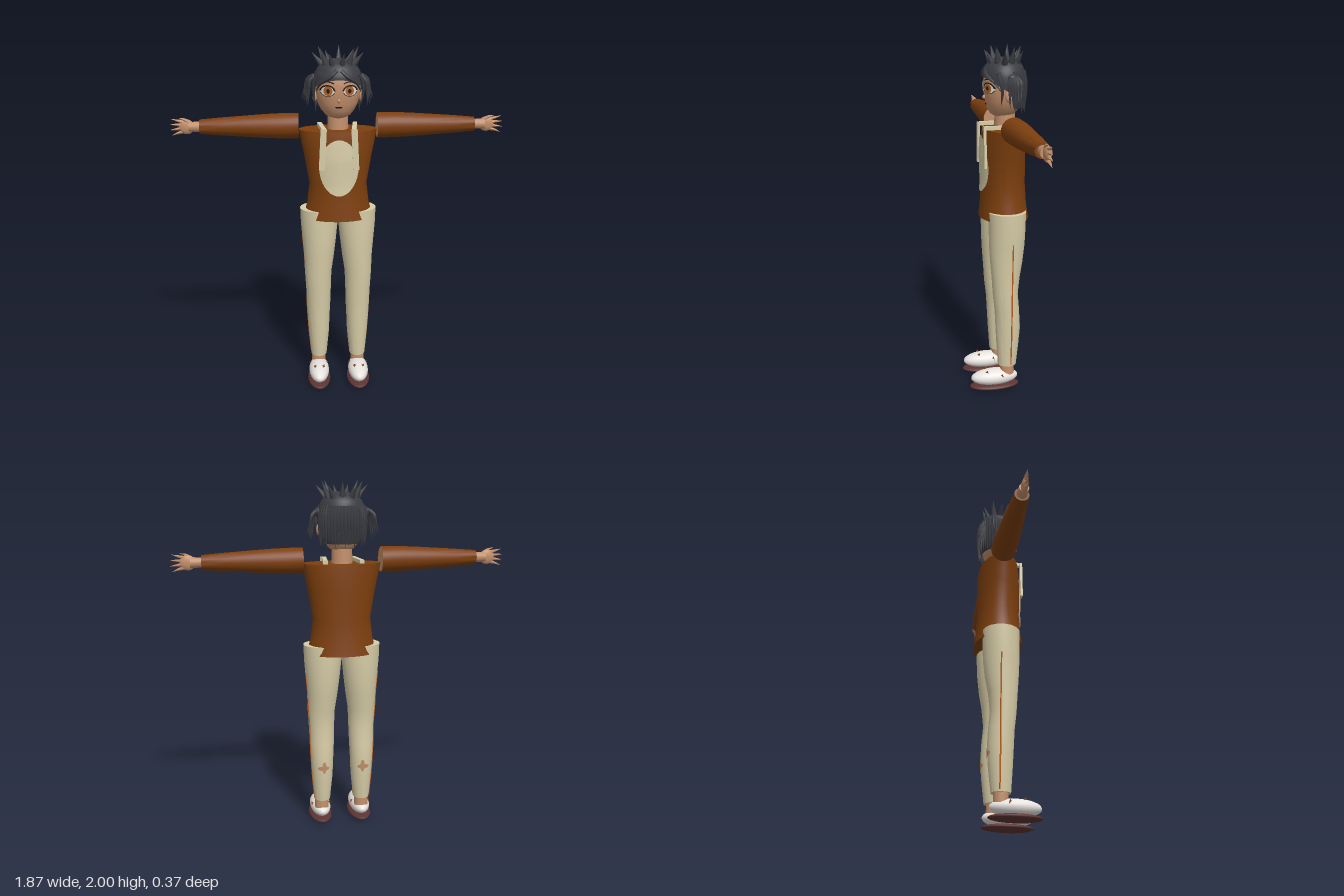
import * as THREE from 'three';
import { toCreasedNormals } from 'three/addons/utils/BufferGeometryUtils.js';

const mat = (name, color) => {
  const m = new THREE.MeshStandardMaterial({ color, side: THREE.DoubleSide });
  m.name = name;
  return m;
};
const V = (x, y, z) => new THREE.Vector3(x, y, z);
const lerp = THREE.MathUtils.lerp;

// Cross-section rows, bottom to top: [y, centre x, radius x, centre z, radius z]
const headRows = [
  [1.615, 0, 0.035, -0.035, 0.04], [1.63, 0, 0.068, -0.037, 0.068], [1.66, 0, 0.093, -0.04, 0.09],
  [1.7, 0, 0.112, -0.04, 0.1], [1.75, 0, 0.123, -0.04, 0.108], [1.8, 0, 0.126, -0.04, 0.11],
  [1.84, 0, 0.121, -0.042, 0.107], [1.88, 0, 0.1, -0.044, 0.092], [1.905, 0, 0.073, -0.045, 0.068], [1.925, 0, 0.02, -0.045, 0.02],
];
const torsoRows = [
  [1.04, 0, 0.2, -0.042, 0.14], [1.12, 0, 0.178, -0.04, 0.13], [1.24, 0, 0.164, -0.04, 0.122],
  [1.4, 0, 0.191, -0.038, 0.123], [1.5, 0, 0.211, -0.04, 0.119], [1.55, 0, 0.22, -0.042, 0.113],
];
const legRows = s => [
  [0.15, 0.117, 0.047, -0.04, 0.054], [0.3, 0.116, 0.061, -0.043, 0.067], [0.4, 0.117, 0.066, -0.043, 0.072],
  [0.5, 0.117, 0.071, -0.038, 0.072], [0.6, 0.117, 0.074, -0.028, 0.073], [0.7, 0.118, 0.079, -0.03, 0.081],
  [0.8, 0.112, 0.088, -0.035, 0.094], [0.9, 0.11, 0.098, -0.038, 0.102], [1.0, 0.109, 0.107, -0.04, 0.105], [1.09, 0.11, 0.109, -0.04, 0.106],
].map(([y, x, ...r]) => [y, s * x, ...r]);

function sample(rows, y) {
  let i = 0;
  while (i < rows.length - 2 && y > rows[i + 1][0]) i++;
  const t = THREE.MathUtils.clamp((y - rows[i][0]) / (rows[i + 1][0] - rows[i][0]), 0, 1);
  return rows[i].map((v, k) => lerp(v, rows[i + 1][k], t));
}

// Grid of points to a smooth surface
function grid(nu, nv, f) {
  const pos = [], idx = [];
  for (let j = 0; j <= nv; j++) for (let i = 0; i <= nu; i++) pos.push(...f(i / nu, j / nv));
  for (let j = 0; j < nv; j++) for (let i = 0; i < nu; i++) {
    const a = j * (nu + 1) + i, b = a + nu + 1;
    idx.push(a, a + 1, b, a + 1, b + 1, b);
  }
  const g = new THREE.BufferGeometry();
  g.setAttribute('position', new THREE.Float32BufferAttribute(pos, 3));
  g.setIndex(idx);
  return g;
}

// Closed body through elliptical rows
function loft(rows, n = 36) {
  const all = [rows[0].map((v, k) => (k % 2 ? v : k ? 0 : v)), ...rows, rows.at(-1).map((v, k) => (k % 2 ? v : k ? 0 : v))];
  return toCreasedNormals(grid(n, all.length - 1, (u, v) => {
    const [y, cx, rx, cz, rz] = all[Math.round(v * (all.length - 1))];
    const a = u * Math.PI * 2;
    return [cx + rx * Math.sin(a), y, cz + rz * Math.cos(a)];
  }), 0.9);
}

// Thin elliptical plate laid on a lofted body; side 1 is front, -1 is back
function decal(rows, cx, cy, rx, ry, lift, side = 1, inner = 0, start = 0, len = Math.PI * 2) {
  const g = new THREE.RingGeometry(inner, 1, 32, 6, start, len);
  const p = g.attributes.position;
  for (let i = 0; i < p.count; i++) {
    const x = cx + side * p.getX(i) * rx, y = cy + p.getY(i) * ry;
    const [, ox, ax, oz, az] = sample(rows, y);
    p.setXYZ(i, x, y, oz + side * (az * Math.sqrt(Math.max(0, 1 - ((x - ox) / ax) ** 2)) + lift));
  }
  g.computeVertexNormals();
  return g;
}

// Tube that narrows to a point
function strandGeo(points, r) {
  const curve = new THREE.CatmullRomCurve3(points), n = 8;
  const g = new THREE.TubeGeometry(curve, n, r, 6);
  const p = g.attributes.position, v = V(0, 0, 0);
  for (let i = 0; i < p.count; i++) {
    const t = Math.floor(i / 7) / n;
    v.fromBufferAttribute(p, i).lerp(curve.getPointAt(t), t ** 1.5 * 0.95);
    p.setXYZ(i, v.x, v.y, v.z);
  }
  g.computeVertexNormals();
  return g;
}

export function createModel() {
  const model = new THREE.Group();
  const skin = mat('skin', 0xc4906c), hair = mat('hair', 0x3b3c42), brown = mat('jacket brown', 0x7d3f0e);
  const cream = mat('cream', 0xd8cda8), white = mat('white', 0xe8e4e0), maroon = mat('sole maroon', 0x5c3432);
  const orange = mat('stripe orange', 0xc8641f), amber = mat('iris amber', 0xb5672a), black = mat('black', 0x1c1a1c);
  const add = (name, geo, m, x = 0, y = 0, z = 0) => {
    const mesh = new THREE.Mesh(geo, m);
    mesh.name = name;
    mesh.position.set(x, y, z);
    model.add(mesh);
    return mesh;
  };
  const ball = (name, m, x, y, z, rx, ry, rz) => add(name, new THREE.SphereGeometry(1, 24, 16), m, x, y, z).scale.set(rx, ry, rz);
  const strand = (name, pts, r, m = hair) => add(name, strandGeo(pts, r), m);

  // Torso, belly patch, neck, head
  add('jacket', loft(torsoRows, 48), brown);
  add('bellyPatch', decal(torsoRows, 0, 1.35, 0.11, 0.16, 0.009), cream);
  add('neck', new THREE.CylinderGeometry(0.056, 0.06, 0.13, 24), skin, 0, 1.6, -0.05);
  add('head', loft(headRows), skin);

  // Face
  for (const s of [-1, 1]) {
    const x = s * 0.062;
    add('eyeWhite', decal(headRows, x, 1.775, 0.038, 0.028, 0.002), white);
    add('iris', decal(headRows, x - s * 0.003, 1.775, 0.024, 0.026, 0.004), amber);
    add('pupil', decal(headRows, x - s * 0.003, 1.775, 0.009, 0.012, 0.006), black);
    add('upperLash', decal(headRows, x, 1.772, 0.043, 0.036, 0.005, 1, 0.8, 0.1, Math.PI - 0.2), black);
    add('lowerLash', decal(headRows, x, 1.775, 0.04, 0.03, 0.004, 1, 0.9, Math.PI + 0.3, Math.PI - 0.6), black);
    add('eyebrow', decal(headRows, x, 1.805, 0.045, 0.022, 0.004, 1, 0.75, 0.5, Math.PI - 1), black);
    ball('ear', skin, s * 0.128, 1.735, -0.042, 0.014, 0.032, 0.02);
  }
  ball('nose', skin, 0, 1.722, 0.066, 0.009, 0.012, 0.012);
  add('mouth', decal(headRows, 0, 1.685, 0.02, 0.005, 0.003), black);

  // Hair cap with a hem that drops towards the nape
  const hairRows = headRows.map(([y, x, rx, z, rz]) => [y + (y > 1.83 ? 0.012 : 0), x, rx + 0.011, z, rz + 0.011]);
  const cap = grid(48, 16, (u, v) => {
    const a = u * Math.PI * 2, c = Math.cos(a);
    const hem = c > 0 ? 1.76 + 0.075 * c : Math.max(1.66, 1.76 + 0.25 * c);
    const y = hem + (1.937 - hem) * Math.sin(v * Math.PI / 2);
    const [, , rx, cz, rz] = sample(hairRows, y);
    const k = v === 1 ? 0 : 1;
    return [k * rx * Math.sin(a), y, cz + k * rz * c];
  });
  cap.computeVertexNormals();
  add('hairCap', cap, hair);

  // Layered strands down the back
  for (let i = 0; i <= 18; i++) {
    const a = Math.PI * (0.6 + 0.8 * i / 18), sx = Math.sin(a), c = Math.cos(a);
    const at = (r, y) => V(sx * (r + 0.012), y, -0.042 + c * r);
    strand('backStrand', [at(0.108, 1.865), at(0.122, 1.8), at(0.122, 1.72), at(0.117, 1.64 + 0.012 * (i % 3))], 0.014);
  }

  // Fringe, side locks and bunches
  for (const s of [-1, 1]) {
    strand('fringe', [V(s * 0.01, 1.88, 0.05), V(s * 0.05, 1.848, 0.063), V(s * 0.1, 1.81, 0.03), V(s * 0.125, 1.76, 0.0)], 0.018);
    strand('sideLock', [V(s * 0.11, 1.86, 0.01), V(s * 0.133, 1.81, 0), V(s * 0.136, 1.75, -0.005), V(s * 0.125, 1.69, 0)], 0.016);
    ball('bunchKnot', hair, s * 0.135, 1.83, -0.06, 0.02, 0.025, 0.025);
    for (let k = 0; k < 5; k++) {
      const z = -0.04 - k * 0.014;
      strand('bunchStrand', [V(s * 0.125, 1.845, -0.06), V(s * (0.153 + k * 0.004), 1.82, z),
        V(s * (0.16 + k * 0.006), 1.76, z), V(s * (0.168 + k * 0.009), 1.675 + k * 0.01, z)], 0.013);
    }
  }

  // Crown of spikes
  for (let i = 0; i < 11; i++) {
    const a = i / 11 * Math.PI * 2 + 0.2, out = i % 2 ? 0.85 : 1;
    const base = V(Math.sin(a) * 0.07, 1.885, -0.045 + Math.cos(a) * 0.06);
    const tip = V(Math.sin(a) * 0.145 * out, i % 2 ? 2 : 1.975, -0.045 + Math.cos(a) * 0.108 * out);
    const dir = tip.clone().sub(base);
    const mid = base.clone().add(tip).multiplyScalar(0.5);
    add('crownSpike', new THREE.ConeGeometry(0.026, dir.length(), 10), hair, mid.x, mid.y, mid.z)
      .quaternion.setFromUnitVectors(V(0, 1, 0), dir.normalize());
    ball('spikeRoot', hair, base.x, base.y + 0.008, base.z, 0.027, 0.024, 0.027);
  }

  for (const s of [-1, 1]) {
    // Shoulder straps
    add('shoulderStrap', new THREE.BoxGeometry(0.025, 0.02, 0.2), cream, s * 0.092, 1.562, -0.018).rotation.y = -s * 0.1;
    add('hangingStrap', new THREE.BoxGeometry(0.034, 0.23, 0.014), cream, s * 0.09, 1.455, 0.083).rotation.z = s * 0.05;

    // Sleeve, shoulder end and hand
    const prof = [[0.071, 0.22], [0.071, 0.3], [0.067, 0.4], [0.059, 0.52], [0.05, 0.65], [0.04, 0.77], [0.0, 0.771]];
    const sleeve = new THREE.LatheGeometry(prof.map(([r, y]) => new THREE.Vector2(r, y)), 28).rotateZ(-s * Math.PI / 2);
    add('sleeve', toCreasedNormals(sleeve, 0.9), brown, 0, 1.567, -0.047);
    add('shoulderEnd', new THREE.CircleGeometry(0.068, 28).rotateY(-s * Math.PI / 2), skin, s * 0.222, 1.567, -0.047);
    add('wrist', new THREE.CylinderGeometry(0.027, 0.03, 0.07, 16).rotateZ(Math.PI / 2), skin, s * 0.795, 1.567, -0.047);
    ball('palm', skin, s * 0.842, 1.567, -0.047, 0.043, 0.042, 0.018);
    for (let k = 0; k < 4; k++) {
      const d = k - 1.5;
      strand('finger', [V(s * 0.85, 1.567 + d * 0.016, -0.047), V(s * 0.895, 1.567 + d * 0.024, -0.047),
        V(s * (0.94 - Math.abs(d) * 0.01), 1.565 + d * 0.031, -0.047)], 0.012, skin);
    }
    strand('thumb', [V(s * 0.82, 1.585, -0.045), V(s * 0.85, 1.608, -0.04), V(s * 0.882, 1.617, -0.035)], 0.013, skin);

    // Trouser leg, side stripe and calf patch
    const rows = legRows(s);
    add('trouserLeg', loft(rows), cream);
    const line = [0.16, 0.3, 0.4, 0.5, 0.6, 0.7, 0.8, 0.92].map(y => {
      const [, cx, rx, cz, rz] = sample(rows, y);
      return V(cx + s * rx * Math.sqrt(1 - ((-0.053 - cz) / rz) ** 2), y, -0.053);
    });
    add('sideStripe', new THREE.TubeGeometry(new THREE.CatmullRomCurve3(line), 40, 0.004, 6), orange);
    add('calfPatch', decal(rows, s * 0.117, 0.36, 0.034, 0.014, 0.002, -1), skin);
    add('calfPatch', decal(rows, s * 0.113, 0.365, 0.013, 0.036, 0.003, -1), skin);

    // Ankle and shoe
    add('ankle', new THREE.CylinderGeometry(0.04, 0.042, 0.09, 20), skin, s * 0.119, 0.125, -0.04);
    ball('shoe', white, s * 0.119, 0.075, 0.037, 0.06, 0.049, 0.141);
    ball('sole', maroon, s * 0.119, 0.023, 0.037, 0.068, 0.021, 0.148);
    for (const [dx, y, z] of [[-0.025, 0.118, 0.085], [0.025, 0.118, 0.085], [-0.05, 0.098, 0], [0.05, 0.098, 0]]) {
      add('shoeSpot', new THREE.ConeGeometry(0.018, 0.026, 3), brown, s * 0.119 + dx, y, z).rotation.z = -dx * 12;
    }
  }
  return model;
}
